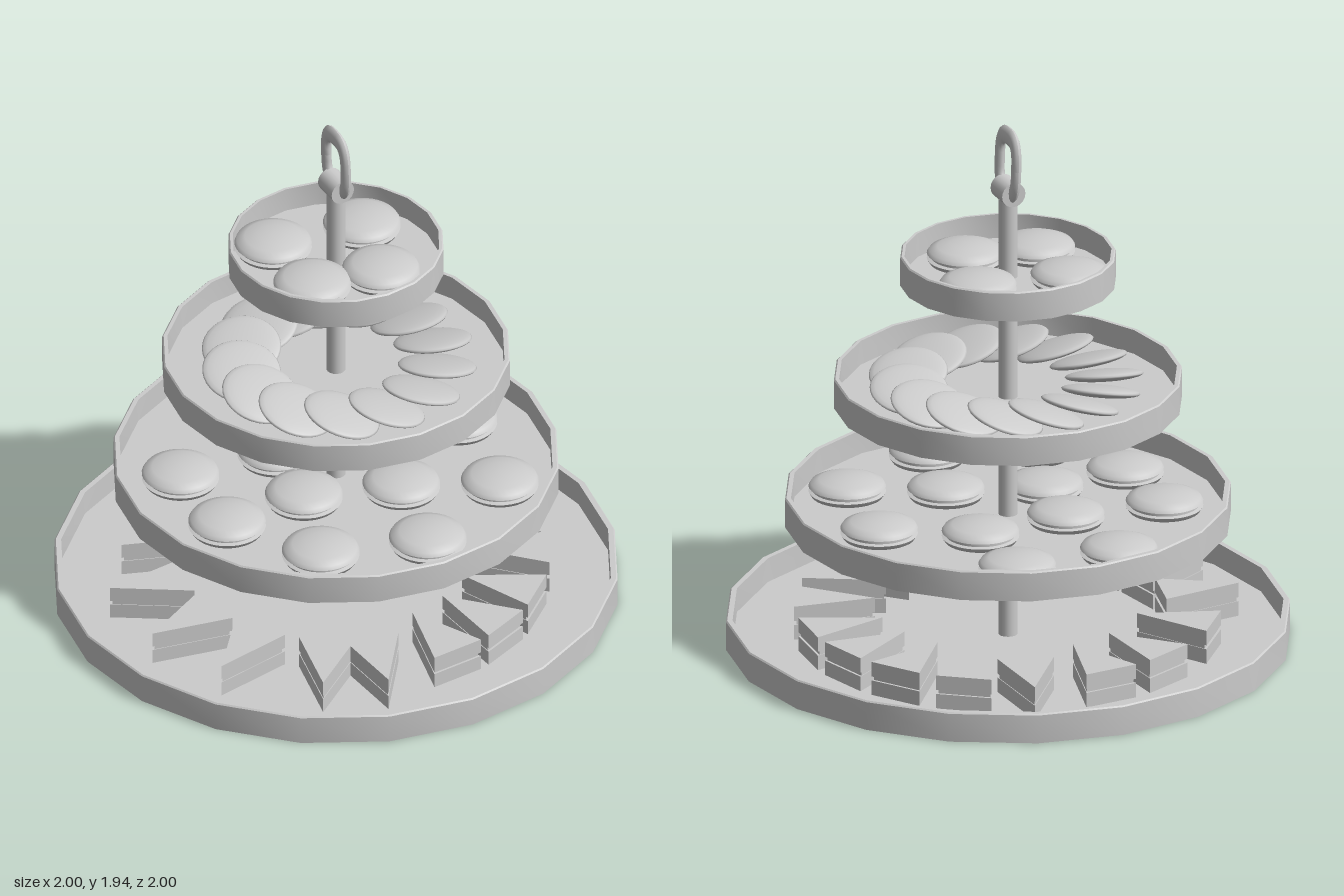
import * as THREE from 'three';
import { toCreasedNormals } from 'three/addons/utils/BufferGeometryUtils.js';

const material = new THREE.MeshStandardMaterial({ color: 0xcccccc });
const rad = THREE.MathUtils.degToRad;

function mesh(name, geometry, parent) {
  const m = new THREE.Mesh(geometry, material);
  m.name = name;
  parent.add(m);
  return m;
}

function lathe(points, sides, crease) {
  const g = new THREE.LatheGeometry(points.map(([x, y]) => new THREE.Vector2(x, y)), sides);
  return toCreasedNormals(g, crease);
}

// Place an object on a circle, its local +x pointing outward (angle runs from +x to +z)
function onRing(obj, angle, radius, y) {
  obj.position.set(Math.cos(angle) * radius, y, Math.sin(angle) * radius);
  obj.rotation.order = 'YXZ';
  obj.rotation.y = -angle;
}

const FLOOR = 0.02;

// Shallow twenty-sided tray with a raised rim
function trayGeometry(r) {
  const w = 0.01 + 0.014 * r;
  return lathe([[0, 0], [r, 0], [r, 0.105], [r - 0.005, 0.11], [r - w, 0.11], [r - w, FLOOR], [0, FLOOR]], 20, 0.6);
}

// Two domed shells with a recessed filling
const macaronGeometry = lathe([
  [0, 0], [0.1, 0], [0.127, 0.01], [0.137, 0.026], [0.123, 0.03], [0.123, 0.042],
  [0.137, 0.045], [0.129, 0.058], [0.1, 0.07], [0.055, 0.079], [0, 0.083],
], 32, 0.7);

// Thin lens-shaped biscuit
const biscuitGeometry = new THREE.SphereGeometry(0.14, 32, 12).scale(1, 0.16, 1);

function wedge(scale, height) {
  const s = new THREE.Shape([[0.14, 0], [-0.14, 0.1], [-0.14, -0.1]].map(([x, y]) => new THREE.Vector2(x * scale, y * scale)));
  return new THREE.ExtrudeGeometry(s, { depth: height, bevelEnabled: false }).rotateX(-Math.PI / 2);
}
const breadGeometry = wedge(1, 0.055);
const fillingGeometry = wedge(0.94, 0.02);

// Triangular sandwich, its tip pointing outward or inward
function addSandwich(degrees, outward, parent) {
  const g = new THREE.Group();
  g.name = 'sandwich';
  mesh('lowerBread', breadGeometry, g);
  mesh('filling', fillingGeometry, g).position.y = 0.053;
  mesh('upperBread', breadGeometry, g).position.y = 0.07;
  onRing(g, rad(degrees), outward ? 0.69 : 0.61, FLOOR);
  if (!outward) g.rotation.y += Math.PI;
  parent.add(g);
}

// Rounded, slightly squared loop standing in the yz plane
function handleGeometry() {
  const g = new THREE.TorusGeometry(1, 0.25, 12, 40);
  const p = g.attributes.position;
  const square = (v) => Math.sign(v) * Math.pow(Math.abs(v), 0.65);
  for (let i = 0; i < p.count; i++) {
    const x = p.getX(i), y = p.getY(i), r = Math.hypot(x, y);
    const c = x / r, s = y / r, off = (r - 1) / 0.25;
    p.setXYZ(i,
      p.getZ(i) / 0.25 * 0.017,
      square(s) * 0.105 + s * off * 0.034,
      -square(c) * 0.071 - c * off * 0.022);
  }
  g.computeVertexNormals();
  return g;
}

export function createModel() {
  const root = new THREE.Group();
  root.name = 'tieredCakeStand';

  // Trays, bottom to top
  const tiers = [[1, 0], [0.79, 0.455], [0.617, 0.9], [0.382, 1.355]].map(([r, y], i) => {
    const tier = new THREE.Group();
    tier.name = 'tier' + (i + 1);
    tier.position.y = y;
    mesh('tray', trayGeometry(r), tier);
    root.add(tier);
    return tier;
  });

  // Central pole, crossbar and carrying loop
  mesh('pole', new THREE.CylinderGeometry(0.034, 0.034, 1.66, 16), root).position.y = 0.84;
  const bar = mesh('crossbar', new THREE.CylinderGeometry(0.045, 0.045, 0.1, 20), root);
  bar.rotation.x = Math.PI / 2;
  bar.position.y = 1.7;
  const handle = mesh('handle', handleGeometry(), root);
  handle.position.y = 1.801;
  handle.rotation.z = 0.03;

  // Sandwiches on the bottom tray
  [192.4, 170, 148, 122, 106, -72.5].forEach((a) => addSandwich(a, true, tiers[0]));
  [84, 66, 48, 27, 4, -15, -34, -54, -95, -115, -141].forEach((a) => addSandwich(a, false, tiers[0]));

  // Macarons on the second and top trays
  const spots = [
    [-0.18, -0.555], [0.21, -0.55], [-0.51, -0.21], [-0.51, 0.13], [-0.31, 0.45], [0.06, 0.56],
    [0.455, 0.37], [0.515, -0.04], [-0.19, 0.11], [0.143, 0.217], [0.2, -0.21], [-0.145, -0.175],
  ];
  const topSpots = [[-0.165, -0.16], [0.17, -0.12], [-0.165, 0.125], [0.09, 0.165]];
  for (const [tier, list] of [[tiers[1], spots], [tiers[3], topSpots]]) {
    for (const [x, z] of list) mesh('macaron', macaronGeometry, tier).position.set(x, FLOOR, z);
  }

  // Overlapping ring of leaning biscuits on the third tray
  const count = 14;
  for (let i = 0; i < count; i++) {
    const biscuit = mesh('biscuit', biscuitGeometry, tiers[2]);
    const angle = (i / count) * Math.PI * 2 + Math.PI / 2;
    onRing(biscuit, angle, 0.35 + 0.02 * Math.sin(angle), 0.073);
    biscuit.rotation.x = -0.32;
  }

  return root;
}
